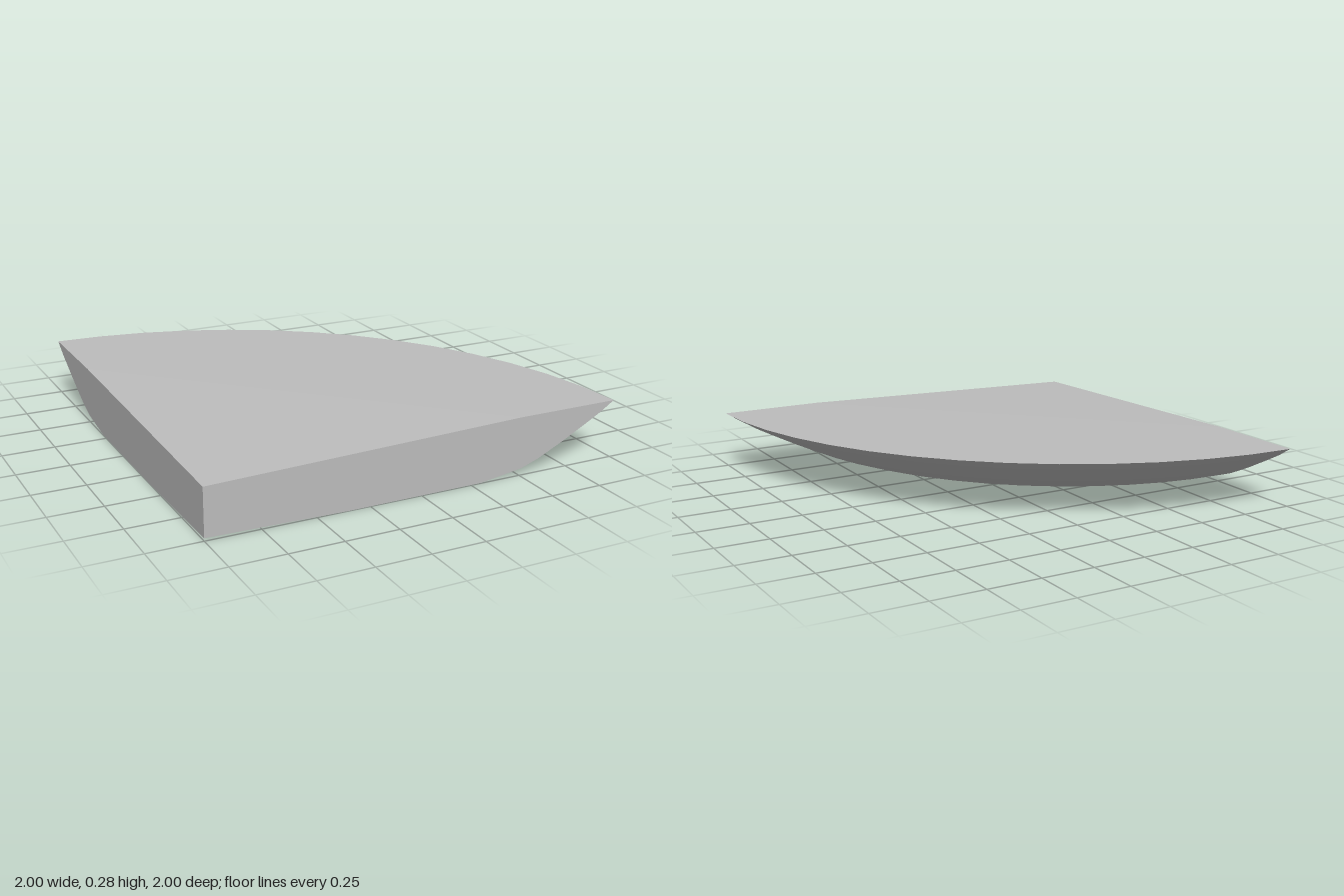
import * as THREE from 'three';

export function createModel() {
  const model = new THREE.Group();
  model.name = 'quarterSlab';
  const grey = new THREE.MeshStandardMaterial({ color: 0xbcbcbc, flatShading: true });
  grey.name = 'plain grey';

  const RADIUS = 2, HEIGHT = 0.275, CREASE = 1.5, CORNER = 0.235, SEGMENTS = 14;

  // Everything is laid out from the square corner at the origin, then shifted
  const add = (name, geometry) => {
    const mesh = new THREE.Mesh(geometry, grey);
    mesh.name = name;
    mesh.position.set(-1, 0, 1);
    model.add(mesh);
    return mesh;
  };

  // Underside profile: nearly flat base sweeping up to a sharp rim
  const profile = [
    [0, 0.013], [0.65, 0], [1.3, 0.002], [1.4, 0.016], [1.51, 0.032], [1.6, 0.064],
    [1.72, 0.12], [1.85, 0.187], [1.93, 0.23], [RADIUS, HEIGHT],
  ].map(([r, y]) => new THREE.Vector2(r, y));
  add('curvedUnderside', new THREE.LatheGeometry(profile, SEGMENTS, Math.PI / 2, Math.PI / 2));

  // Two straight cut walls meeting at the square corner
  const outline = [...profile, new THREE.Vector2(CREASE, HEIGHT), new THREE.Vector2(0, CORNER)];
  add('frontWall', new THREE.ShapeGeometry(new THREE.Shape(outline)));
  const mirrored = outline.map((p) => new THREE.Vector2(-p.x, p.y));
  add('sideWall', new THREE.ShapeGeometry(new THREE.Shape(mirrored))).rotation.y = -Math.PI / 2;

  // Level top from the crease out to the round rim
  const topOutline = [new THREE.Vector2(CREASE, 0)];
  for (let i = 0; i <= SEGMENTS; i++) {
    const a = (i / SEGMENTS) * Math.PI / 2;
    topOutline.push(new THREE.Vector2(RADIUS * Math.cos(a), RADIUS * Math.sin(a)));
  }
  topOutline.push(new THREE.Vector2(0, CREASE));
  const top = new THREE.ShapeGeometry(new THREE.Shape(topOutline));
  top.rotateX(-Math.PI / 2).translate(0, HEIGHT, 0);
  add('levelTop', top);

  // Gently sloping triangle falling towards the corner
  const slope = new THREE.BufferGeometry().setFromPoints([
    new THREE.Vector3(0, CORNER, 0),
    new THREE.Vector3(CREASE, HEIGHT, 0),
    new THREE.Vector3(0, HEIGHT, -CREASE),
  ]);
  slope.computeVertexNormals();
  add('slopingCorner', slope);

  return model;
}
